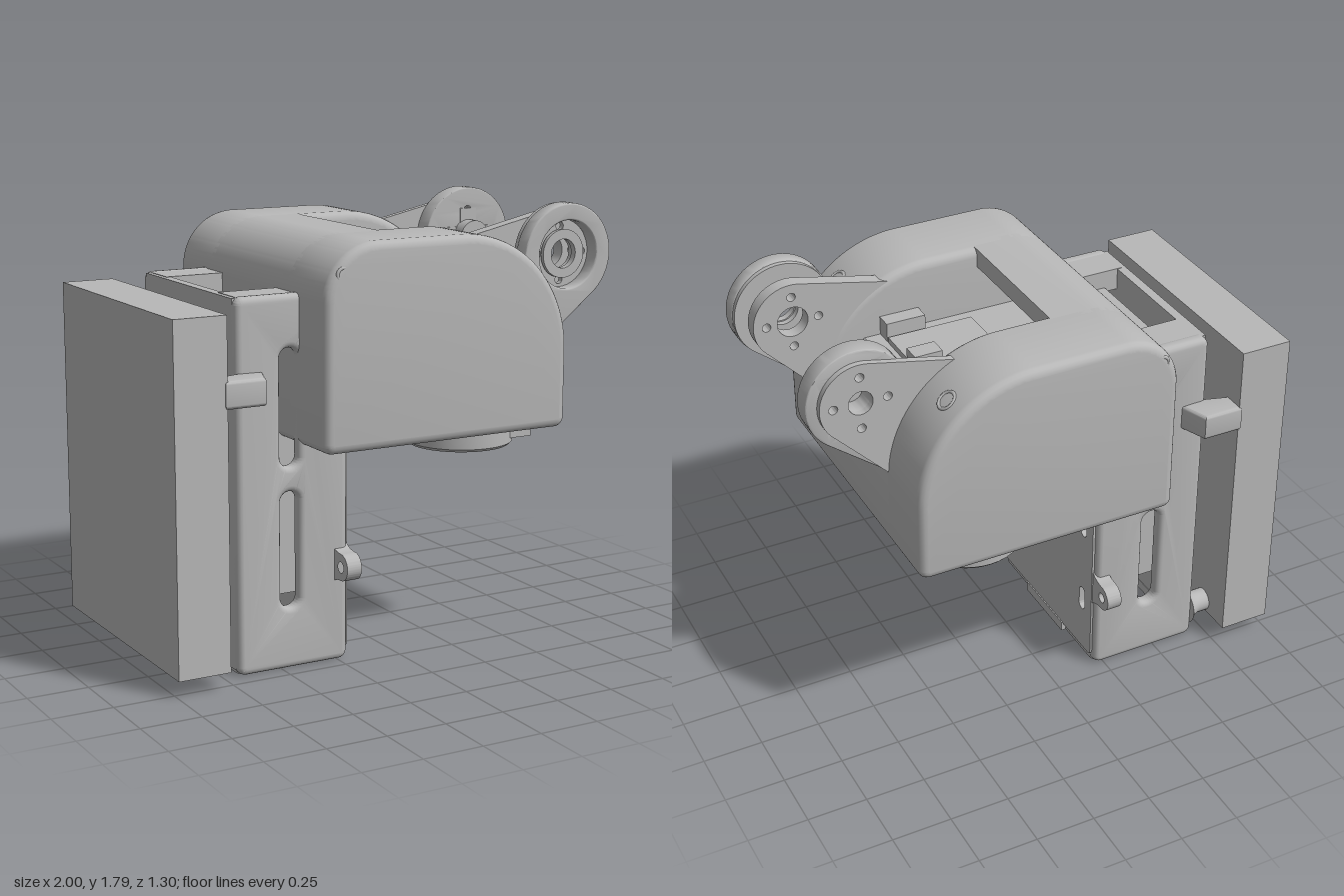
import * as THREE from 'three';
import { toCreasedNormals } from 'three/addons/utils/BufferGeometryUtils.js';

export function createModel() {
  const model = new THREE.Group();
  const grey = new THREE.MeshStandardMaterial({ color: 0xb8b8b8 });
  grey.name = 'matte grey';

  const add = (name, geo) => {
    const mesh = new THREE.Mesh(geo, grey);
    mesh.name = name;
    model.add(mesh);
    return mesh;
  };
  const box = (name, x0, x1, y0, y1, z0, z1) =>
    add(name, new THREE.BoxGeometry(x1 - x0, y1 - y0, z1 - z0)
      .translate((x0 + x1) / 2, (y0 + y1) / 2, (z0 + z1) / 2));
  // Extrusion from a to b along z, keeping its outline when bevelled
  const slab = (shape, a, b, bevel = 0) => toCreasedNormals(new THREE.ExtrudeGeometry(shape, {
    depth: b - a - 2 * bevel, curveSegments: 20, bevelEnabled: bevel > 0,
    bevelSize: bevel, bevelThickness: bevel, bevelOffset: -bevel, bevelSegments: 4,
  }).translate(0, 0, a + bevel), 0.6);
  // The same along x (shape u = -z) and along y (shape v = -z)
  const slabX = (shape, a, b, bevel) => slab(shape, a, b, bevel).rotateY(Math.PI / 2);
  const slabY = (shape, a, b, bevel) => slab(shape, a, b, bevel).rotateX(-Math.PI / 2);

  const rounded = (x0, x1, y0, y1, r, Type = THREE.Shape) => {
    const s = new Type();
    s.absarc(x1 - r, y0 + r, r, -Math.PI / 2, 0);
    s.absarc(x1 - r, y1 - r, r, 0, Math.PI / 2);
    s.absarc(x0 + r, y1 - r, r, Math.PI / 2, Math.PI);
    s.absarc(x0 + r, y0 + r, r, Math.PI, Math.PI * 1.5);
    s.closePath();
    return s;
  };
  const slot = (x0, x1, y0, y1) => rounded(x0, x1, y0, y1, (x1 - x0) / 2 - 0.001, THREE.Path);
  const circle = (x, y, r) => new THREE.Path().absarc(x, y, r, 0, Math.PI * 2, true);
  const ring = (ri, ro, h) => toCreasedNormals(new THREE.LatheGeometry(
    [[ri, 0], [ro - 0.012, 0], [ro, 0.012], [ro, h], [ri, h], [ri, 0]].map(p => new THREE.Vector2(...p)), 40), 0.6);

  // Rear panel
  box('rearPanel', -1, -0.78, 0.07, 1.46, -0.545, 0.545);

  // Upright bracket: slotted sides, back, front plate and floor
  for (const s of [-1, 1]) {
    const side = rounded(-0.69, -0.205, 0, 1.5, 0.035);
    side.holes.push(slot(-0.5, -0.42, 0.82, 1.29), slot(-0.5, -0.42, 0.25, 0.72));
    const [a, b] = s > 0 ? [0.37, 0.435] : [-0.435, -0.37];
    add('bracketSide', slab(side, a, b, 0.025));
    const [c, d] = s > 0 ? [0.24, 0.4] : [-0.4, -0.24];
    box('bracketShoulder', -0.67, -0.3, 1.4, 1.497, c, d);
  }
  box('bracketBack', -0.69, -0.65, 0.02, 1.495, -0.4, 0.4);
  const front = rounded(-0.41, 0.41, 0.04, 0.93, 0.02);
  for (const u of [-0.33, 0.33])
    for (const y of [0.24, 0.62]) front.holes.push(slot(u - 0.023, u + 0.023, y, y + 0.11));
  add('bracketFrontPlate', slabX(front, -0.235, -0.195));
  const floor = rounded(-0.68, -0.21, -0.41, 0.41, 0.03);
  floor.holes.push(rounded(-0.648, -0.35, -0.25, 0.25, 0.02, THREE.Path));
  add('bracketFloor', slabY(floor, 0.002, 0.045));
  box('bottomLip', -0.24, -0.19, 0, 0.045, -0.165, 0.165);
  box('innerMotor', -0.59, -0.27, 0.25, 1.42, -0.25, 0.25);

  // Screw tabs at the front edge of the bracket
  for (const s of [-1, 1]) {
    const tab = new THREE.Shape();
    tab.moveTo(s * 0.4, 0.31);
    tab.quadraticCurveTo(s * 0.43, 0.345, s * 0.485, 0.345);
    tab.absarc(s * 0.485, 0.4, 0.055, -Math.PI / 2, Math.PI / 2, s < 0);
    tab.quadraticCurveTo(s * 0.43, 0.455, s * 0.4, 0.49);
    tab.closePath();
    tab.holes.push(circle(s * 0.485, 0.4, 0.022));
    add('screwTab', slabX(tab, -0.265, -0.2));
  }

  // Standoffs joining the panel to the bracket
  for (const s of [-1, 1]) {
    const arm = new THREE.Shape();
    [[-0.79, -0.55], [-0.62, -0.55], [-0.575, -0.43], [-0.69, -0.42], [-0.79, -0.45]]
      .forEach(([x, z], i) => arm[i ? 'lineTo' : 'moveTo'](x, -z * s));
    arm.closePath();
    add('upperStandoff', slabY(arm, 1.1, 1.21, 0.015));
  }
  for (const z of [-0.38, 0.18]) {
    const foot = toCreasedNormals(new THREE.LatheGeometry(
      [[0, -0.8], [0.05, -0.8], [0.05, -0.73], [0.06, -0.705], [0.08, -0.685], [0, -0.685]]
        .map(p => new THREE.Vector2(...p)), 24), 0.6);
    add('lowerStandoff', foot.rotateZ(-Math.PI / 2).translate(0, 0.12, z));
  }

  // Hood ends, closing the sides of the top opening
  const hood = new THREE.Shape();
  hood.absarc(0.65, 0.94, 0.04, -Math.PI / 2, 0);
  hood.absarc(0.2, 1.22, 0.49, 0, Math.PI / 2);
  hood.absarc(-0.19, 1.48, 0.23, Math.PI / 2, Math.PI);
  hood.absarc(-0.38, 0.94, 0.04, Math.PI, Math.PI * 1.5);
  hood.closePath();
  add('hoodLeft', slab(hood, 0.3, 0.65, 0.035));
  add('hoodRight', slab(hood, -0.65, -0.3, 0.035));

  // Hood centre: roof overhang, open well and sloping sill
  const centre = new THREE.Shape();
  centre.absarc(0.65, 0.94, 0.04, -Math.PI / 2, 0);
  [[0.69, 1.22], [0.68, 1.26], [0.49, 1.43], [-0.3, 1.43], [-0.3, 1.58], [-0.22, 1.63], [-0.02, 1.63], [-0.02, 1.71]]
    .forEach(p => centre.lineTo(...p));
  centre.absarc(-0.19, 1.48, 0.23, Math.PI / 2, Math.PI);
  centre.absarc(-0.38, 0.94, 0.04, Math.PI, Math.PI * 1.5);
  centre.closePath();
  add('hoodCentre', slab(centre, -0.36, 0.36));
  box('wellBlock', 0.05, 0.42, 1.42, 1.455, -0.22, 0.22);
  box('wellClip', 0.3, 0.42, 1.42, 1.5, -0.04, 0.04);
  box('wellCorner', 0.25, 0.42, 1.42, 1.51, 0.23, 0.31);

  // Screw seats on the hood
  for (const s of [-1, 1]) {
    const seat = new THREE.TorusGeometry(0.037, 0.007, 8, 28);
    seat.rotateX(-Math.PI / 2).rotateZ(-0.68).translate(0.51, 1.597, s * 0.52);
    add('frontScrewSeat', seat);
    add('endScrewSeat', new THREE.TorusGeometry(0.027, 0.007, 8, 28).translate(-0.34, 1.59, s * 0.643));
  }

  // Joint ears: a round head with tangent edges running into the hood
  const cx = 0.79, cy = 1.58;
  const ear = (r, top, low, hole, bolts) => {
    const tangent = ([x, y], sign) => Math.atan2(y - cy, x - cx)
      + sign * Math.acos(r / Math.hypot(x - cx, y - cy));
    const s = new THREE.Shape();
    s.moveTo(...top);
    s.lineTo(...low);
    s.absarc(cx, cy, r, tangent(low, 1), tangent(top, -1) + 0, false);
    s.closePath();
    s.holes.push(circle(cx, cy, hole));
    if (bolts) for (let i = 0; i < 4; i++) {
      const a = i * Math.PI / 2;
      s.holes.push(circle(cx + 0.11 * Math.cos(a), cy + 0.11 * Math.sin(a), 0.018));
    }
    return s;
  };
  const low = [0.67, 1.22], high = [0.36, 1.655], mid = [0.55, 1.45];
  add('outerEarLeft', slab(ear(0.21, mid, low, 0.14, false), 0.43, 0.5, 0.008));
  add('outerEarWeb', slab(ear(0.205, mid, low, 0.065, true), 0.41, 0.435));
  add('innerEarLeft', slab(ear(0.165, high, low, 0.065, true), 0.305, 0.365));
  add('outerEarRight', slab(ear(0.21, mid, low, 0.05, true), -0.345, -0.26, 0.006));
  add('backingEarRight', slab(ear(0.165, high, low, 0.05, true), -0.37, -0.34));
  add('earRing', ring(0.06, 0.1, 0.03).rotateX(Math.PI / 2).translate(cx, cy, 0.435));
  add('pivotPin', new THREE.CylinderGeometry(0.07, 0.07, 0.07, 32).rotateX(Math.PI / 2).translate(cx, cy, -0.235));
  box('pivotCrossWide', cx - 0.12, cx + 0.12, cy - 0.04, cy + 0.04, -0.265, -0.255);
  box('pivotCrossTall', cx - 0.04, cx + 0.04, cy - 0.12, cy + 0.12, -0.265, -0.255);

  // Underside plate with two round sockets
  const under = rounded(-0.21, 0.6, -0.43, 0.43, 0.02);
  under.holes.push(circle(0.36, 0.34, 0.135), circle(0.36, -0.34, 0.135));
  add('undersidePlate', slabY(under, 0.855, 0.91));
  for (const s of [-1, 1]) {
    add('socketRing', ring(0.135, 0.22, 0.085).translate(0.36, 0.82, s * 0.36));
    add('socketHub', ring(0.03, 0.07, 0.03).translate(0.36, 0.875, s * 0.36));
    box('socketClip', 0.5, 0.6, 0.85, 0.91, s * 0.48 - 0.05, s * 0.48 + 0.05);
  }

  // Gusset between upright and underside
  const gusset = new THREE.Shape();
  gusset.moveTo(-0.2, 0.79);
  gusset.lineTo(-0.04, 0.86);
  gusset.lineTo(-0.2, 0.86);
  gusset.closePath();
  add('gusset', slab(gusset, -0.04, 0.04));

  return model;
}
